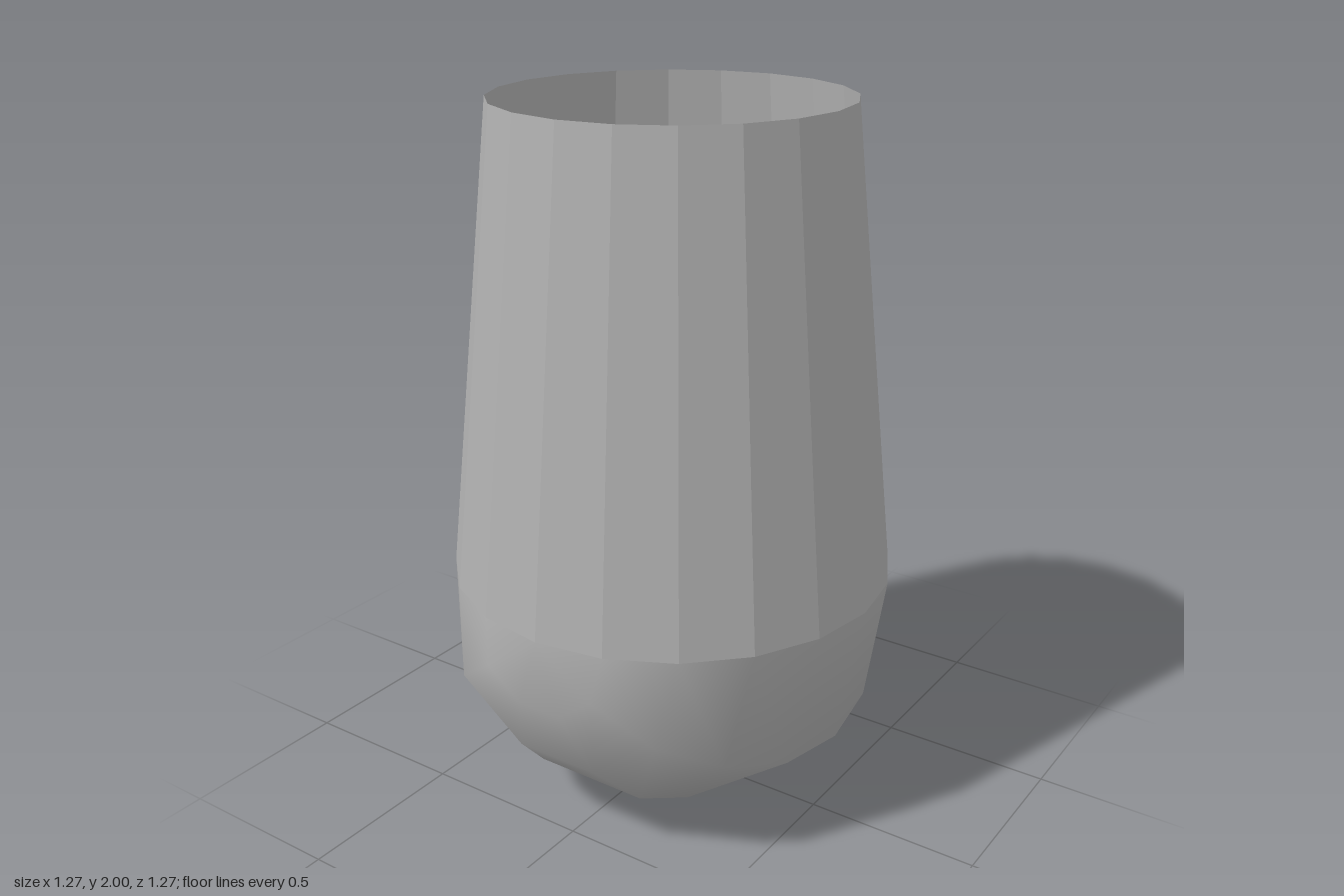
import * as THREE from 'three';
import { mergeVertices } from 'three/addons/utils/BufferGeometryUtils.js';

const RIM_Y = 0.672, RIM_R = 0.633, TOP_R = 0.49, HEIGHT = 2;
const ARCH_R = 0.692;                              // interior radius of the bulging base
const LEAN = [0, 0.024, 0.04, 0.048, 0.026, 0];    // outward lean of each arch

// Rounded base: arches spanning the rim from side to side, meeting at front and back
function baseGeometry() {
  const rows = 10, cols = 5, positions = [], index = [];
  for (let i = 0; i <= rows; i++) {
    const k = i - rows / 2;
    const t = (k * Math.PI) / rows;
    const width = Math.abs(k) === 5 ? 0 : Math.cos(t);
    for (let j = 0; j <= cols; j++) {
      const a = (j * Math.PI) / cols;
      const onRim = j === 0 || j === cols;
      const r = (onRim ? RIM_R : ARCH_R) * width;
      const lean = onRim ? 0 : Math.sign(k) * LEAN[Math.abs(k)];
      positions.push(
        r * Math.cos(a),
        RIM_Y - (onRim ? 0 : r * Math.sin(a) * 1.02),
        RIM_R * Math.sin(t) + lean
      );
    }
  }
  for (let i = 0; i < rows; i++) {
    for (let j = 0; j < cols; j++) {
      const a = i * (cols + 1) + j, b = a + cols + 1;
      if (i > 0) index.push(a, b, a + 1);
      if (i < rows - 1) index.push(b, b + 1, a + 1);
      // close the fans at the two end points
      if (i === 0) index.push(a, b, b + 1), index.splice(-6, 3);
    }
  }
  const geometry = new THREE.BufferGeometry();
  geometry.setAttribute('position', new THREE.Float32BufferAttribute(positions, 3));
  geometry.setIndex(index);
  const welded = mergeVertices(geometry, 1e-4);
  welded.computeVertexNormals();
  return welded;
}

// Tapered, faceted wall, open at the top
function wallGeometry() {
  const h = HEIGHT - RIM_Y;
  const geometry = new THREE.CylinderGeometry(TOP_R, RIM_R, h, 20, 1, true).toNonIndexed();
  geometry.translate(0, RIM_Y + h / 2, 0);
  geometry.computeVertexNormals();
  return geometry;
}

export function createModel() {
  const grey = new THREE.MeshStandardMaterial({ color: 0xb0b0b0, side: THREE.DoubleSide });
  grey.name = 'grey';

  const group = new THREE.Group();
  group.name = 'tumbler';
  const wall = new THREE.Mesh(wallGeometry(), grey);
  wall.name = 'wall';
  const base = new THREE.Mesh(baseGeometry(), grey);
  base.name = 'roundedBase';
  group.add(wall, base);
  return group;
}
